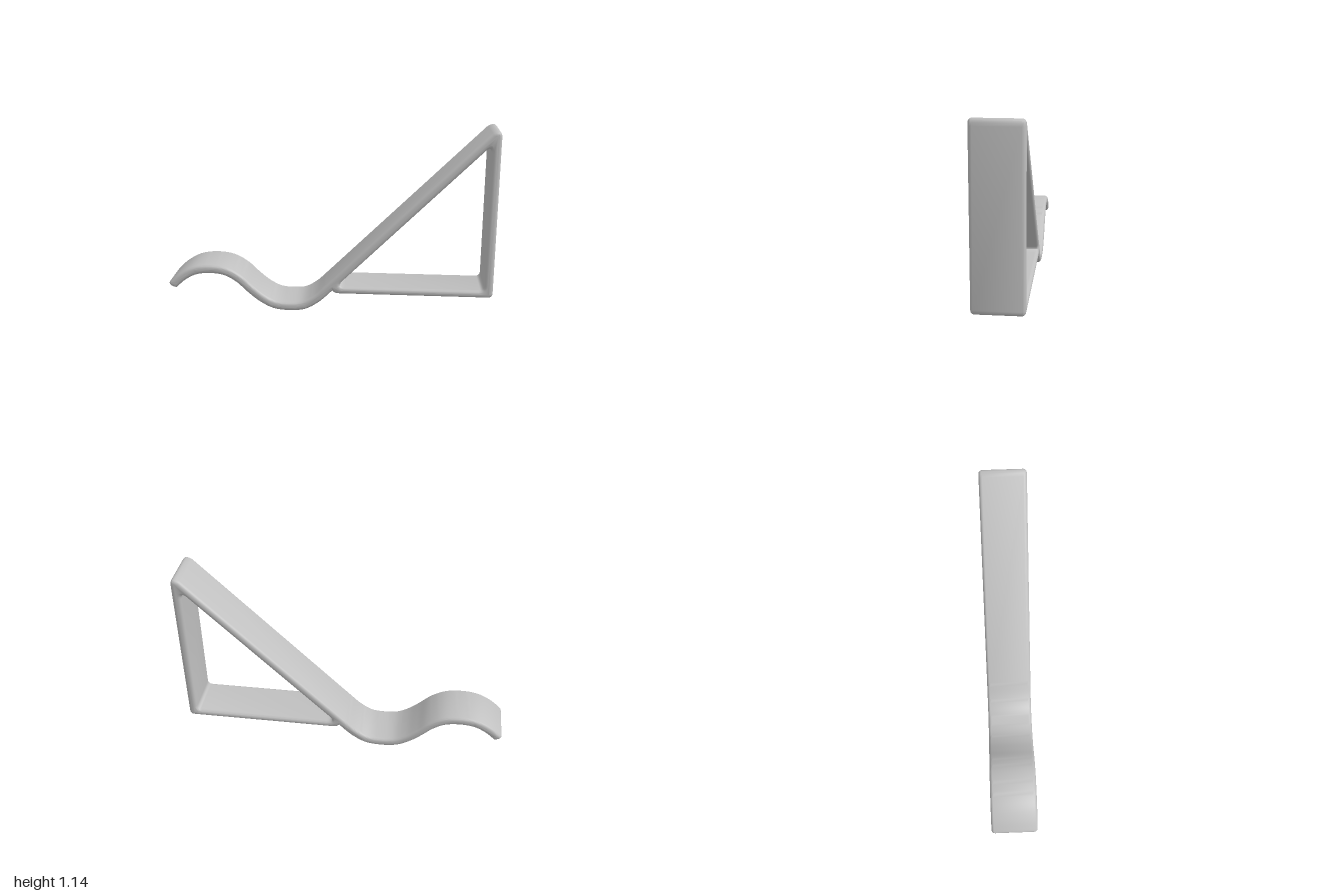
import * as THREE from 'three';
import { toCreasedNormals } from 'three/addons/utils/BufferGeometryUtils.js';

const WIDTH = 0.288, BEVEL = 0.022, HALF = 0.028;

// Append a rounded corner at (x, y), entered from and left towards given points
function corner(path, from, at, to) {
  path.lineTo(...from);
  path.quadraticCurveTo(...at, ...to);
}

export function createModel() {
  const model = new THREE.Group();
  const grey = new THREE.MeshStandardMaterial({ color: 0xbfbfbf });
  grey.name = 'plainGrey';

  // Centreline of the wavy tail, from its free tip to the triangle
  const wave = new THREE.CatmullRomCurve3([
    [-0.975, 0.157], [-0.92, 0.206], [-0.84, 0.25], [-0.74, 0.264], [-0.64, 0.25],
    [-0.56, 0.205], [-0.49, 0.14], [-0.42, 0.083], [-0.34, 0.042], [-0.25, 0.032],
    [-0.16, 0.042], [-0.08, 0.088], [0, 0.163],
  ].map(([x, y]) => new THREE.Vector3(x, y, 0)));

  // Both edges of the strip, offset square to the centreline
  const upper = [], lower = [];
  for (let i = 0; i <= 64; i++) {
    const p = wave.getPointAt(i / 64), t = wave.getTangentAt(i / 64);
    upper.push([p.x - t.y * HALF, p.y + t.x * HALF]);
    lower.push([p.x + t.y * HALF, p.y - t.x * HALF]);
  }

  // Outline: underside of the wave, base, upright, sloping brace, top of the wave
  const outline = new THREE.Shape();
  outline.moveTo(...lower[0]);
  lower.slice(1).forEach((p) => outline.lineTo(...p));
  outline.quadraticCurveTo(0.033, 0.126, 0.06, 0.126);
  corner(outline, [0.965, 0.126], [0.996, 0.126], [0.996, 0.157]);
  corner(outline, [0.996, 1.11], [0.996, 1.168], [0.94, 1.137]);
  upper.reverse().forEach((p) => outline.lineTo(...p));
  outline.bezierCurveTo(-1.008, 0.168, -1.002, 0.14, ...lower[0]);

  // Triangular opening with rounded corners
  const opening = new THREE.Path();
  opening.moveTo(0.1, 0.171);
  corner(opening, [0.91, 0.171], [0.941, 0.171], [0.941, 0.202]);
  corner(opening, [0.941, 1.02], [0.941, 1.066], [0.908, 1.034]);
  corner(opening, [0.08, 0.206], [0.045, 0.171], [0.1, 0.171]);
  outline.holes.push(opening);

  // One strip body with softened edges all round
  const body = new THREE.ExtrudeGeometry(outline, {
    depth: WIDTH - 2 * BEVEL, curveSegments: 6,
    bevelEnabled: true, bevelThickness: BEVEL, bevelSize: BEVEL, bevelOffset: -BEVEL, bevelSegments: 5,
  });
  body.translate(0, 0, -WIDTH / 2 + BEVEL);
  const stand = new THREE.Mesh(toCreasedNormals(body, 0.6), grey);
  stand.name = 'wavyTriangleStand';
  model.add(stand);
  return model;
}
